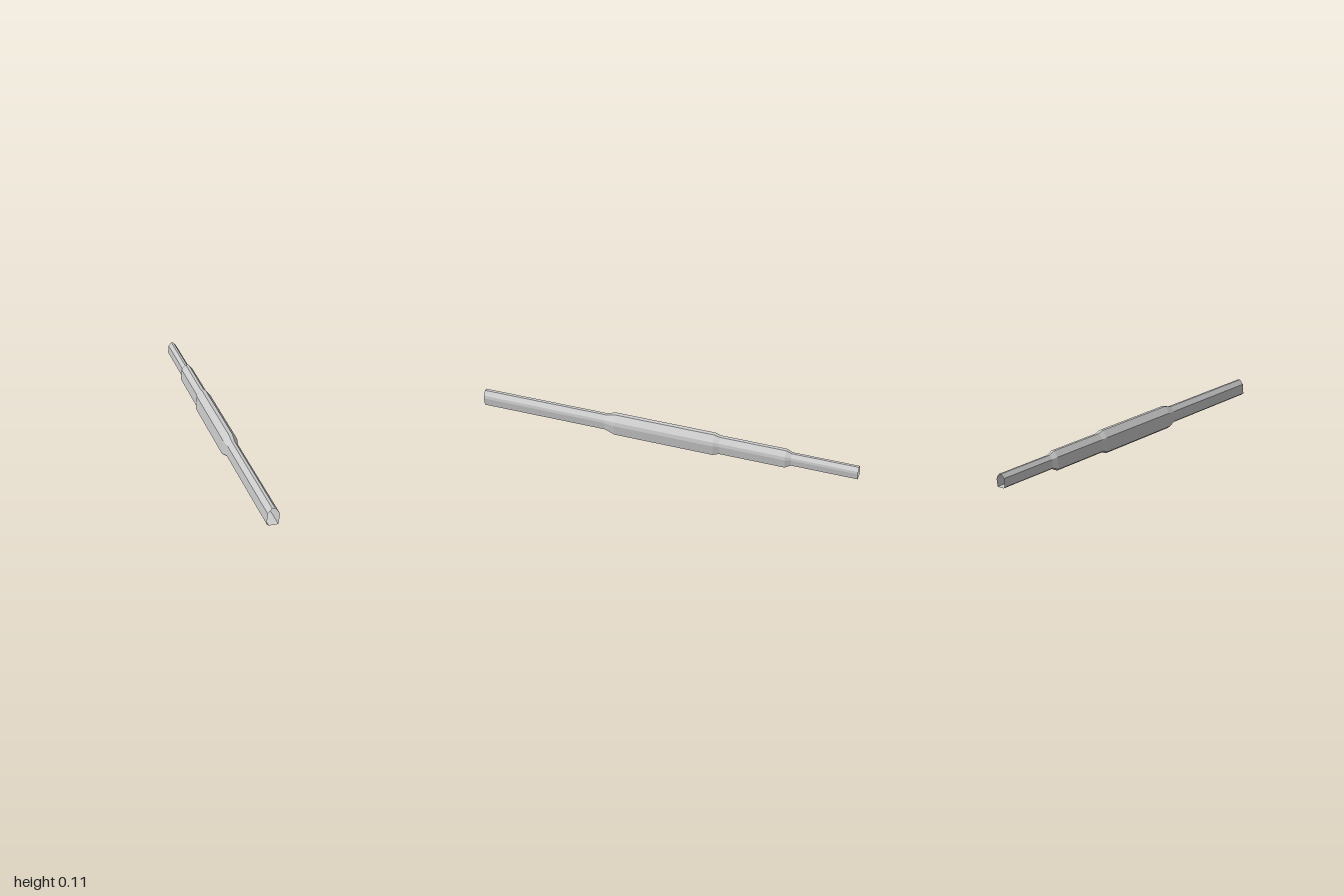
import * as THREE from 'three';

// Widest cross-section, clockwise as seen from the front
const PROFILE = [
  [-0.008, 0.113], [0.012, 0.111], [0.037, 0.081], [0.04, 0.06],
  [0.032, 0.002], [-0.028, 0.0], [-0.041, 0.011], [-0.035, 0.081],
];
const CENTRE = [0, 0.059];

// Stations along the tube, front to back: [z, scale of the profile]
const STATIONS = [
  [1, 0.74], [0.32, 0.74], [0.265, 1], [-0.265, 1],
  [-0.295, 0.83], [-0.635, 0.83], [-0.665, 0.585], [-1, 0.585],
];

// Joins neighbouring cross-sections with flat quads; the ends stay open
function loftTube(stations) {
  const positions = [];
  const n = PROFILE.length;
  const point = ([z, s], i) => {
    const [x, y] = PROFILE[i % n];
    return [CENTRE[0] + (x - CENTRE[0]) * s, CENTRE[1] + (y - CENTRE[1]) * s, z];
  };
  for (let k = 0; k < stations.length - 1; k++) {
    for (let i = 0; i < n; i++) {
      const a = point(stations[k], i), b = point(stations[k], i + 1);
      const c = point(stations[k + 1], i + 1), d = point(stations[k + 1], i);
      positions.push(...a, ...b, ...c, ...a, ...c, ...d);
    }
  }
  const geometry = new THREE.BufferGeometry();
  geometry.setAttribute('position', new THREE.Float32BufferAttribute(positions, 3));
  geometry.computeVertexNormals();
  return geometry;
}

export function createModel() {
  const group = new THREE.Group();
  group.name = 'steppedTube';
  const material = new THREE.MeshStandardMaterial({
    color: 0xcccccc, flatShading: true, side: THREE.DoubleSide,
  });

  // Each section keeps the flare at its front end
  const parts = { frontTube: [0, 2], wideSleeve: [1, 4], middleSleeve: [3, 6], rearTube: [5, 8] };
  const ranges = {
    frontTube: [0, 1], wideSleeve: [1, 3], middleSleeve: [3, 5], rearTube: [5, 7],
  };
  for (const name of Object.keys(parts)) {
    const [from, to] = ranges[name];
    const mesh = new THREE.Mesh(loftTube(STATIONS.slice(from, to + 1)), material);
    mesh.name = name;
    group.add(mesh);
  }
  return group;
}
